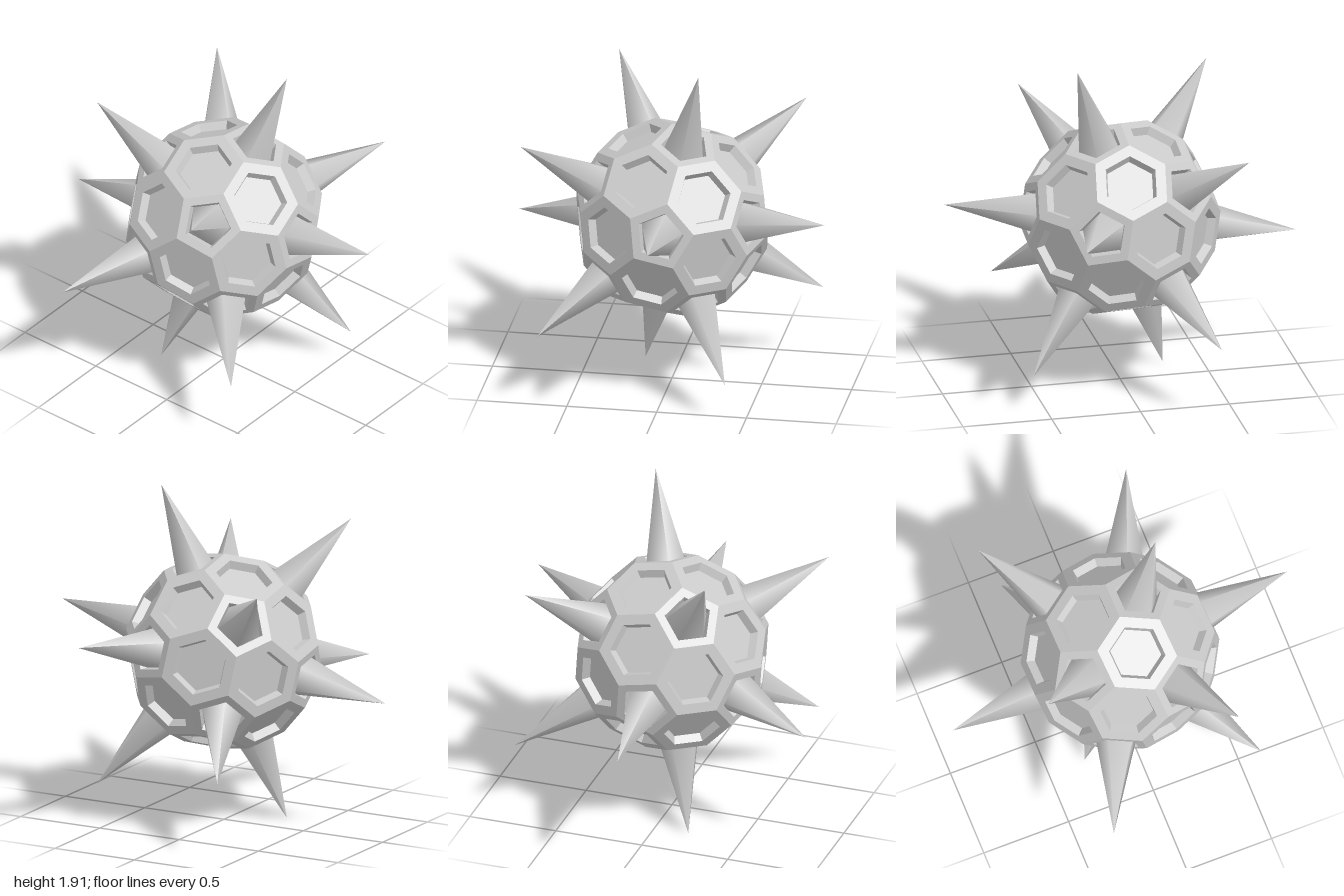
import * as THREE from 'three';

const BALL = 0.637;      // circumradius of the icosahedron that gets truncated
const TIP = 1.016;       // distance of the spike tips from the centre
const RIM = 0.71, FLOOR = 0.64, DEPTH = 0.045; // recess proportions

// Twelve icosahedron directions: a pole, its five neighbours, and their opposites
function icosahedronDirections() {
  const pole = new THREE.Vector3(0.195, 0.953, 0.285).normalize();
  const u = new THREE.Vector3(0.035, 0.175, 0.995);
  u.addScaledVector(pole, -u.dot(pole)).normalize();
  const v = new THREE.Vector3().crossVectors(pole, u);
  const half = [pole];
  for (let k = 0; k < 5; k++) {
    const t = (k * Math.PI * 2) / 5;
    half.push(pole.clone()
      .addScaledVector(u, 2 * Math.cos(t))
      .addScaledVector(v, 2 * Math.sin(t))
      .normalize());
  }
  return [...half, ...half.map((d) => d.clone().negate())];
}

// Regular polygon solid of revolution with flat sides
function polygonLathe(profile, sides) {
  return new THREE.LatheGeometry(profile.map(([r, y]) => new THREE.Vector2(r, y)), sides);
}

// Framed panel with a sunken floor
function panelGeometry(radius, sides) {
  return polygonLathe([
    [radius, 0], [radius * RIM, 0], [radius * FLOOR, -DEPTH], [0, -DEPTH],
  ], sides);
}

// Put an object on a face: local y along the normal, local z towards a corner
function placeOnFace(object, center, corner) {
  const y = center.clone().normalize();
  const z = corner.clone().sub(center).normalize();
  const x = new THREE.Vector3().crossVectors(y, z);
  object.quaternion.setFromRotationMatrix(new THREE.Matrix4().makeBasis(x, y, z));
  object.position.copy(center);
}

export function createModel() {
  const model = new THREE.Group();
  model.name = 'spikedBall';
  const faceted = new THREE.MeshStandardMaterial({ color: 0xcccccc, flatShading: true });
  const smooth = new THREE.MeshStandardMaterial({ color: 0xcccccc });

  const verts = icosahedronDirections().map((d) => d.multiplyScalar(BALL));
  const adjacent = (a, b) => a !== b && a.dot(b) > 0.3 * BALL * BALL;
  const cut = (a, b) => a.clone().multiplyScalar(2).add(b).divideScalar(3);

  const edge = verts[0].distanceTo(verts[1]) / 3;
  const pentRadius = edge / (2 * Math.sin(Math.PI / 5));
  const hexPanel = panelGeometry(edge, 6);
  const pentPanel = panelGeometry(pentRadius, 5);

  // Spike rising from the floor of each pentagon
  const pentDistance = cut(verts[0], verts[1]).dot(verts[0]) / BALL;
  const spikeShape = polygonLathe([
    [pentRadius * FLOOR, -DEPTH], [0, TIP - pentDistance],
  ], 5);

  // Twelve pentagon panels with spikes
  for (const a of verts) {
    const neighbour = verts.find((b) => adjacent(a, b));
    const center = a.clone().setLength(pentDistance);
    const group = new THREE.Group();
    group.name = 'spikedPanel';
    const panel = new THREE.Mesh(pentPanel, faceted);
    panel.name = 'pentagonPanel';
    const spike = new THREE.Mesh(spikeShape, smooth);
    spike.name = 'spike';
    group.add(panel, spike);
    placeOnFace(group, center, cut(a, neighbour));
    model.add(group);
  }

  // Twenty hexagon panels, one for each triangle of neighbouring directions
  for (let i = 0; i < 12; i++) for (let j = i + 1; j < 12; j++) for (let k = j + 1; k < 12; k++) {
    const [a, b, c] = [verts[i], verts[j], verts[k]];
    if (!adjacent(a, b) || !adjacent(b, c) || !adjacent(a, c)) continue;
    const center = a.clone().add(b).add(c).divideScalar(3);
    const panel = new THREE.Mesh(hexPanel, faceted);
    panel.name = 'hexagonPanel';
    placeOnFace(panel, center, cut(a, b));
    model.add(panel);
  }

  // Raise the ball so its lowest spike touches the ground
  const lift = (verts[0].y / BALL) * TIP;
  for (const part of model.children) part.position.y += lift;
  return model;
}
